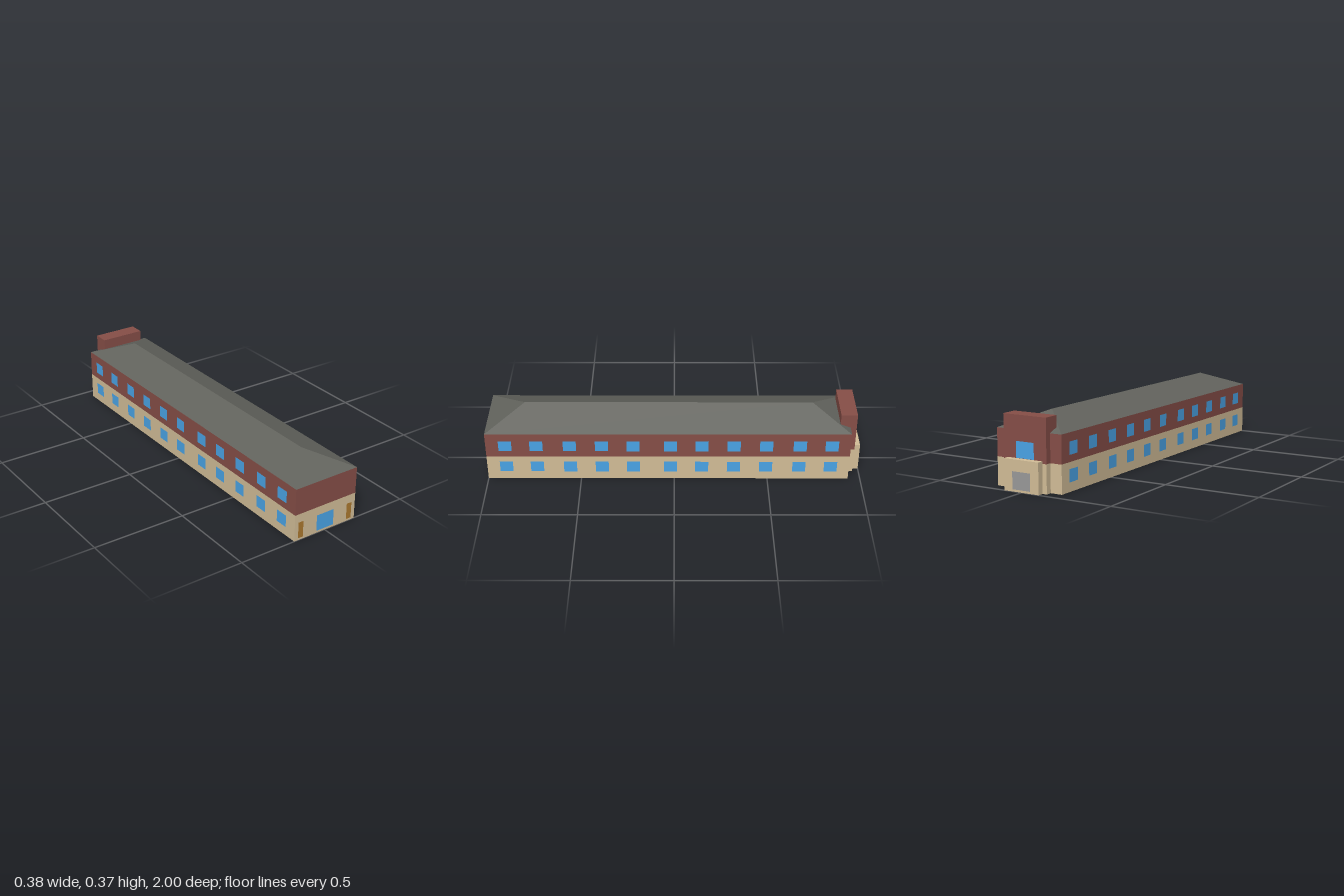
import * as THREE from 'three';

const mat = (name, color, side = THREE.FrontSide) => {
  const m = new THREE.MeshStandardMaterial({ color, side });
  m.name = name;
  return m;
};

export function createModel() {
  const group = new THREE.Group();
  group.name = 'longBuilding';
  const brick = mat('brick', 0x864e47);
  const stone = mat('sandstone', 0xd2bd97);
  const glass = mat('blueGlass', 0x4aa4e6);
  const wood = mat('woodDoor', 0xab782f);
  const slate = mat('slateRoof', 0x62635d, THREE.DoubleSide);
  const grey = mat('midGrey', 0x999999);
  const paleGrey = mat('paleGreyFloor', 0xc2c2c2);

  const W = 0.188, FRONT = 1, BACK = -0.935, SPLIT = 0.145, EAVE = 0.288, RIDGE = 0.367;

  const add = (name, geometry, material) => {
    const mesh = new THREE.Mesh(geometry, material);
    mesh.name = name;
    group.add(mesh);
    return mesh;
  };
  // Box given by its limits on each axis
  const box = (name, material, [x0, x1], [y0, y1], [z0, z1]) =>
    add(name, new THREE.BoxGeometry(x1 - x0, y1 - y0, z1 - z0), material)
      .position.set((x0 + x1) / 2, (y0 + y1) / 2, (z0 + z1) / 2);
  // Flat painted detail, turned about y to face outwards
  const panel = (name, material, w, h, [x, y, z], turn) => {
    const mesh = add(name, new THREE.PlaneGeometry(w, h), material);
    mesh.position.set(x, y, z);
    mesh.rotation.y = turn;
  };

  // Hollow storey: a rectangular ring of wall raised from y0 to y1
  const storey = (name, material, y0, y1) => {
    const rect = (Type, inset) => {
      const x = W - inset, a = -FRONT + inset, b = -BACK - inset;
      return new Type([[-x, a], [x, a], [x, b], [-x, b]].map(p => new THREE.Vector2(...p)));
    };
    const shape = rect(THREE.Shape, 0);
    shape.holes.push(rect(THREE.Path, 0.004));
    const g = new THREE.ExtrudeGeometry(shape, { depth: y1 - y0, bevelEnabled: false });
    g.rotateX(-Math.PI / 2).translate(0, y0, 0);
    add(name, g, material);
  };
  storey('lowerWalls', stone, 0, SPLIT);
  storey('upperWalls', brick, SPLIT, EAVE);

  // Hipped roof: four slopes between the eaves and the ridge
  const fl = [-W, EAVE, FRONT], fr = [W, EAVE, FRONT], bl = [-W, EAVE, BACK], br = [W, EAVE, BACK];
  const rf = [0, RIDGE, 0.8], rb = [0, RIDGE, -0.74];
  const roof = new THREE.BufferGeometry();
  roof.setAttribute('position', new THREE.Float32BufferAttribute([
    fl, fr, rf, br, bl, rb,
    fr, br, rb, fr, rb, rf,
    bl, fl, rf, bl, rf, rb,
  ].flat(), 3));
  roof.computeVertexNormals();
  add('hippedRoof', roof, slate);

  // Recessed floor with a darker panel below it
  box('floor', paleGrey, [-W + 0.004, W - 0.004], [0.008, 0.014], [BACK + 0.004, FRONT - 0.004]);
  box('floorPanel', grey, [-0.134, 0.134], [0.007, 0.009], [-0.78, 0.93]);

  // Rear tower and the porch in front of it
  box('towerBase', stone, [-0.124, 0.124], [0, SPLIT], [-0.967, BACK]);
  box('tower', brick, [-0.124, 0.124], [SPLIT, RIDGE], [-0.967, -0.88]);
  box('porch', stone, [-0.1, 0.1], [0, 0.157], [-1, -0.967]);

  // Two rows of windows along both sides
  const windowZ = [0.897, 0.732, 0.555, 0.385, 0.218, 0.02, -0.147, -0.317, -0.489, -0.667, -0.836];
  for (const side of [-1, 1])
    for (const z of windowZ)
      for (const y of [0.079, 0.212])
        panel('sideWindow', glass, 0.07, 0.064, [side * (W + 0.0006), y, z], side * Math.PI / 2);

  // Entrances and rear openings
  panel('frontEntrance', glass, 0.105, 0.088, [0, 0.055, FRONT + 0.0006], 0);
  for (const side of [-1, 1])
    panel('frontDoor', wood, 0.03, 0.088, [side * 0.151, 0.055, FRONT + 0.0006], 0);
  panel('towerWindow', glass, 0.104, 0.082, [0, 0.199, -0.9676], Math.PI);
  panel('rearShutter', grey, 0.104, 0.088, [0, 0.055, -1.0006], Math.PI);

  return group;
}
